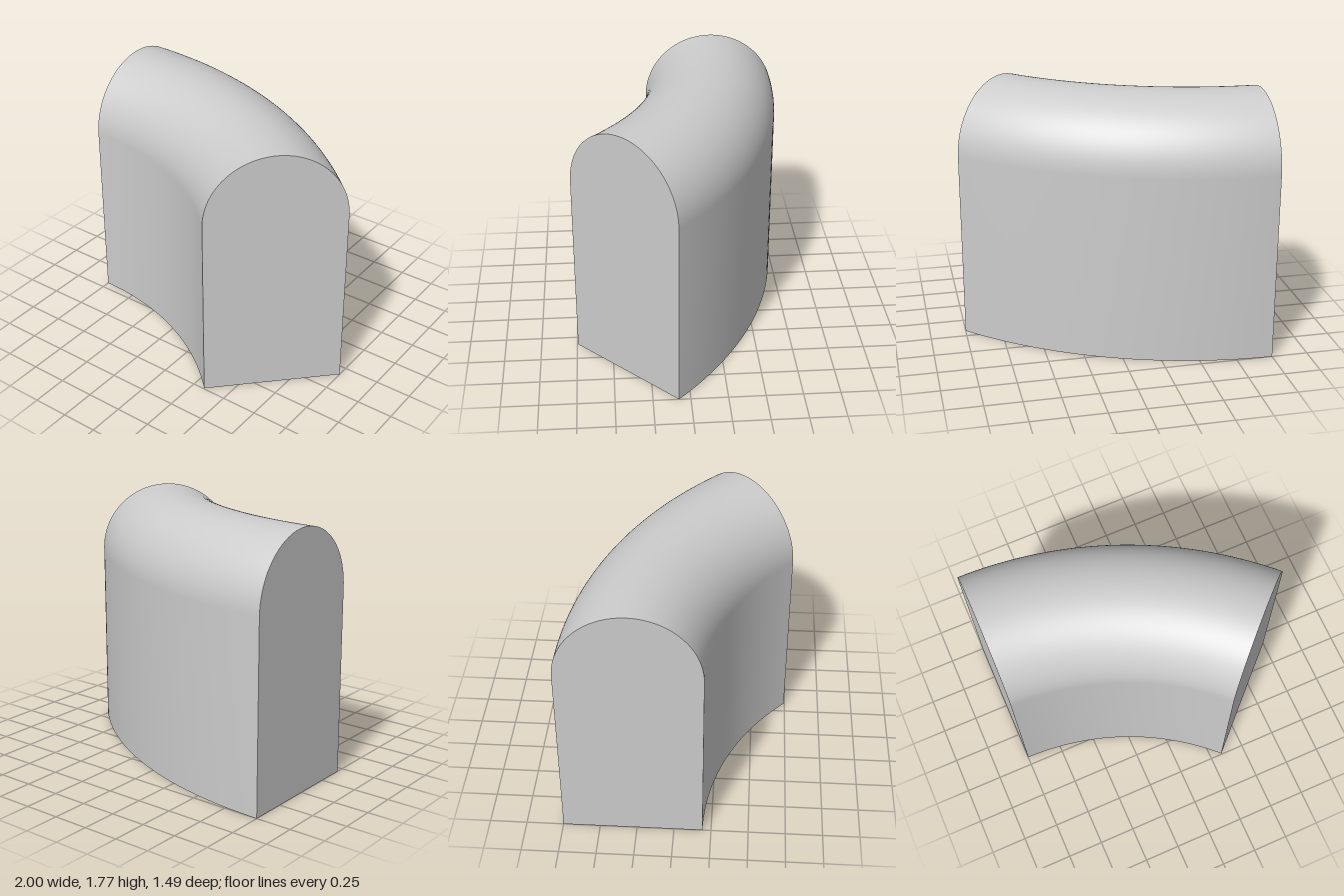
import * as THREE from 'three';
import { toCreasedNormals } from 'three/addons/utils/BufferGeometryUtils.js';

const OUTER = 2.828;          // outer bend radius
const INNER = 1.886;          // inner bend radius
const HALF = (OUTER - INNER) / 2;
const MID = (OUTER + INNER) / 2;
const SPRING = 1.297;         // height where the arch starts
const WALL = 0.118;
const SWEEP = Math.PI / 4;

// Bends a straight piece (z from 0 to 1) around the vertical axis of the curve
function bend(geometry) {
  const p = geometry.attributes.position;
  for (let i = 0; i < p.count; i++) {
    const r = MID + p.getX(i);
    const a = p.getZ(i) * SWEEP;
    p.setXYZ(i, -1 + r * Math.sin(a), p.getY(i), OUTER - 0.75 - r * Math.cos(a));
  }
  geometry.computeVertexNormals();
  return geometry;
}

// Upright arch outline with a round top
function archShape(radius) {
  const s = new THREE.Shape();
  s.moveTo(-radius, 0);
  s.lineTo(radius, 0);
  s.lineTo(radius, SPRING);
  s.absarc(0, SPRING, radius, 0, Math.PI, false);
  s.closePath();
  return s;
}

// Wall section: outer arch, then back along the inner arch, open at the bottom
function wallShape() {
  const r = HALF - WALL;
  const s = new THREE.Shape();
  s.moveTo(r, 0);
  s.lineTo(HALF, 0);
  s.lineTo(HALF, SPRING);
  s.absarc(0, SPRING, HALF, 0, Math.PI, false);
  s.lineTo(-HALF, 0);
  s.lineTo(-r, 0);
  s.lineTo(-r, SPRING);
  s.absarc(0, SPRING, r, Math.PI, 0, true);
  s.closePath();
  return s;
}

export function createModel() {
  const group = new THREE.Group();
  group.name = 'curvedArchSection';
  const grey = new THREE.MeshStandardMaterial({ color: 0xcccccc, side: THREE.DoubleSide });
  grey.name = 'light grey';

  // Hollow curved shell
  const shellGeometry = new THREE.ExtrudeGeometry(wallShape(), {
    depth: 1, steps: 32, curveSegments: 32, bevelEnabled: false,
  });
  const shell = new THREE.Mesh(toCreasedNormals(bend(shellGeometry), 0.6), grey);
  shell.name = 'archedShell';
  group.add(shell);

  // Thin panels closing both ends of the hollow
  ['startPanel', 'endPanel'].forEach((name, z) => {
    const g = new THREE.ShapeGeometry(archShape(HALF - WALL), 32);
    g.translate(0, 0, z);
    if (z === 0) {
      const index = g.index.array;
      for (let i = 0; i < index.length; i += 3) {
        [index[i], index[i + 1]] = [index[i + 1], index[i]];
      }
    }
    const panel = new THREE.Mesh(bend(g), grey);
    panel.name = name;
    group.add(panel);
  });
  return group;
}
